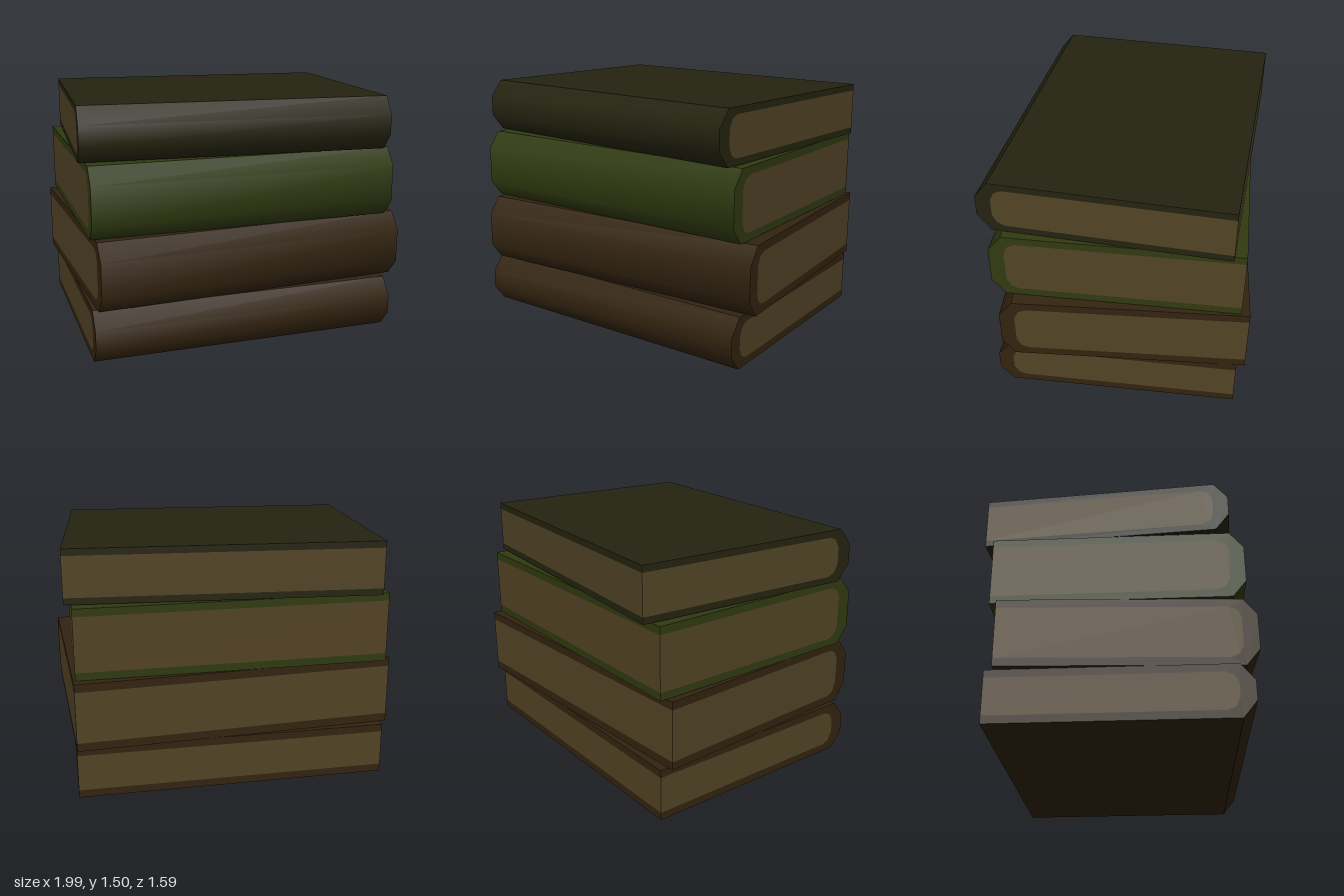
import * as THREE from 'three';
import { toCreasedNormals } from 'three/addons/utils/BufferGeometryUtils.js';

function makeMaterial(name, color) {
  const m = new THREE.MeshStandardMaterial({ color });
  m.name = name;
  return m;
}

// Extrude a (z, y) outline along x, smoothing only the gentle bends
function extrudeAlongX(points, width) {
  const shape = new THREE.Shape(points.map(([z, y]) => new THREE.Vector2(z, y)));
  const geo = new THREE.ExtrudeGeometry(shape, { depth: width, bevelEnabled: false });
  geo.translate(0, 0, -width / 2);
  geo.rotateY(-Math.PI / 2);
  return toCreasedNormals(geo, 0.78);
}

// One book lying flat: wrap-around cover with a bevelled spine at +z, pages inside
function makeBook({ name, width, depth, height, board, cover, pages }) {
  const book = new THREE.Group();
  book.name = name;
  const f = depth / 2, b = -depth / 2, h = height / 2;
  const inner = h - board, pf = f - 0.09;

  // page outline, from lower back corner round the rounded spine side to the upper back
  const pageOutline = [
    [b, -inner], [pf - 0.07, -inner], [pf - 0.025, -inner + 0.02], [pf, -inner + 0.07],
    [pf, inner - 0.07], [pf - 0.025, inner - 0.02], [pf - 0.07, inner], [b, inner],
  ];
  const coverOutline = [
    [b, -h], [f - 0.08, -h], [f, -h + 0.1], [f, h - 0.1], [f - 0.08, h], [b, h],
    ...[...pageOutline].reverse(),
  ];

  const coverMesh = new THREE.Mesh(extrudeAlongX(coverOutline, width), cover);
  coverMesh.name = 'cover';
  const pageMesh = new THREE.Mesh(extrudeAlongX(pageOutline, width), pages);
  pageMesh.name = 'pages';
  book.add(coverMesh, pageMesh);
  return book;
}

export function createModel() {
  const pages = makeMaterial('aged paper', 0x524325);
  const brown = makeMaterial('brown cover', 0x332410);
  const green = makeMaterial('green cover', 0x303a10);
  const olive = makeMaterial('dark olive cover', 0x252410);

  // Stack from bottom to top; y is the underside of each book
  const specs = [
    { name: 'bottomBook', width: 1.88, depth: 1.48, height: 0.317, board: 0.047, cover: brown, x: -0.02, y: 0.008, z: 0.01, turn: 0 },
    { name: 'secondBook', width: 1.92, depth: 1.472, height: 0.414, board: 0.05, cover: brown, x: -0.002, y: 0.328, z: 0.005, turn: 0.0515 },
    { name: 'thirdBook', width: 1.865, depth: 1.465, height: 0.425, board: 0.047, cover: green, x: -0.022, y: 0.745, z: 0.002, turn: 0 },
    { name: 'topBook', width: 1.85, depth: 1.454, height: 0.321, board: 0.04, cover: olive, x: -0.021, y: 1.175, z: -0.002, turn: -0.0735 },
  ];

  const model = new THREE.Group();
  model.name = 'bookStack';
  for (const s of specs) {
    const book = makeBook({ ...s, pages });
    book.position.set(s.x, s.y + s.height / 2, s.z);
    // slight lean to the right and back
    book.rotation.set(-0.005, s.turn, -0.004);
    model.add(book);
  }
  return model;
}
